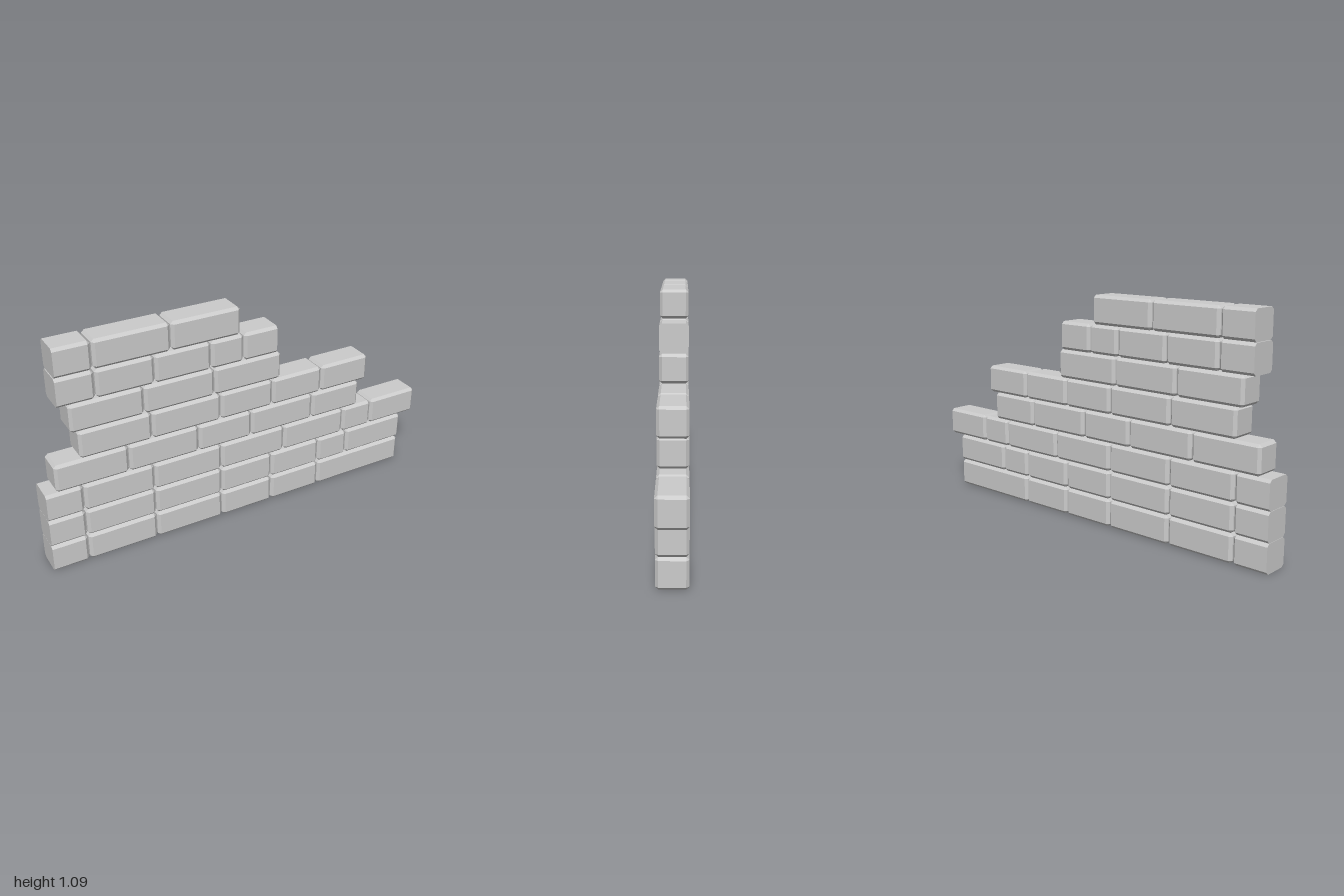
import * as THREE from 'three';
import { ConvexGeometry } from 'three/addons/geometries/ConvexGeometry.js';

const PITCH = 0.1358, HEIGHT = 0.1345, DEPTH = 0.134, GAP = 0.005, CHAMFER = 0.013;

// Joint positions along x for each course, bottom to top.
// cutLeft / cutRight list the bricks whose end is sawn flat.
const COURSES = [
  { joints: [-1, -0.828, -0.487, -0.142, 0.134, 0.411, 0.68, 0.918], cutLeft: [0, 6], cutRight: [5] },
  { joints: [-1, -0.828, -0.487, -0.142, 0.134, 0.408, 0.58, 0.923], cutLeft: [0], cutRight: [] },
  { joints: [-1, -0.828, -0.487, -0.142, 0.203, 0.55, 0.722, 1], cutLeft: [0], cutRight: [] },
  { joints: [-0.949, -0.605, -0.258, 0.02, 0.361, 0.635], cutLeft: [], cutRight: [] },
  { joints: [-0.828, -0.487, -0.142, 0.134, 0.408, 0.678], cutLeft: [], cutRight: [] },
  { joints: [-0.859, -0.517, -0.172, 0.176], cutLeft: [], cutRight: [] },
  { joints: [-0.906, -0.732, -0.46, -0.187, -0.02, 0.152], cutLeft: [0], cutRight: [4] },
  { joints: [-0.903, -0.735, -0.378, -0.038], cutLeft: [0], cutRight: [] },
];

// Box with chamfered edges; a cut end keeps its full cross-section
function brickGeometry(length, cutLeft, cutRight) {
  const points = [], c = CHAMFER;
  const [hx, hy, hz] = [length / 2, HEIGHT / 2, DEPTH / 2];
  for (const sx of [-1, 1]) {
    const cut = sx < 0 ? cutLeft : cutRight;
    const inner = cut ? hx : hx - c;
    for (const sy of [-1, 1]) for (const sz of [-1, 1]) {
      points.push(new THREE.Vector3(sx * inner, sy * hy, sz * (hz - c)));
      points.push(new THREE.Vector3(sx * inner, sy * (hy - c), sz * hz));
      if (!cut) points.push(new THREE.Vector3(sx * hx, sy * (hy - c), sz * (hz - c)));
    }
  }
  return new ConvexGeometry(points);
}

export function createModel() {
  const wall = new THREE.Group();
  wall.name = 'brickWall';
  const material = new THREE.MeshStandardMaterial({ color: 0xcccccc, flatShading: true });

  COURSES.forEach(({ joints, cutLeft, cutRight }, row) => {
    const course = new THREE.Group();
    course.name = `course${row + 1}`;
    course.position.y = row * PITCH + HEIGHT / 2;
    for (let i = 0; i < joints.length - 1; i++) {
      // Half a mortar gap at inner joints, none at the wall's ends or sawn joints
      const flatL = cutLeft.includes(i), flatR = cutRight.includes(i);
      const x0 = joints[i] + (i === 0 || flatL ? 0 : GAP / 2);
      const x1 = joints[i + 1] - (i === joints.length - 2 || flatR ? 0 : GAP / 2);
      const brick = new THREE.Mesh(brickGeometry(x1 - x0, flatL, flatR), material);
      brick.name = `brick${row + 1}_${i + 1}`;
      brick.position.x = (x0 + x1) / 2;
      course.add(brick);
    }
    wall.add(course);
  });
  return wall;
}
